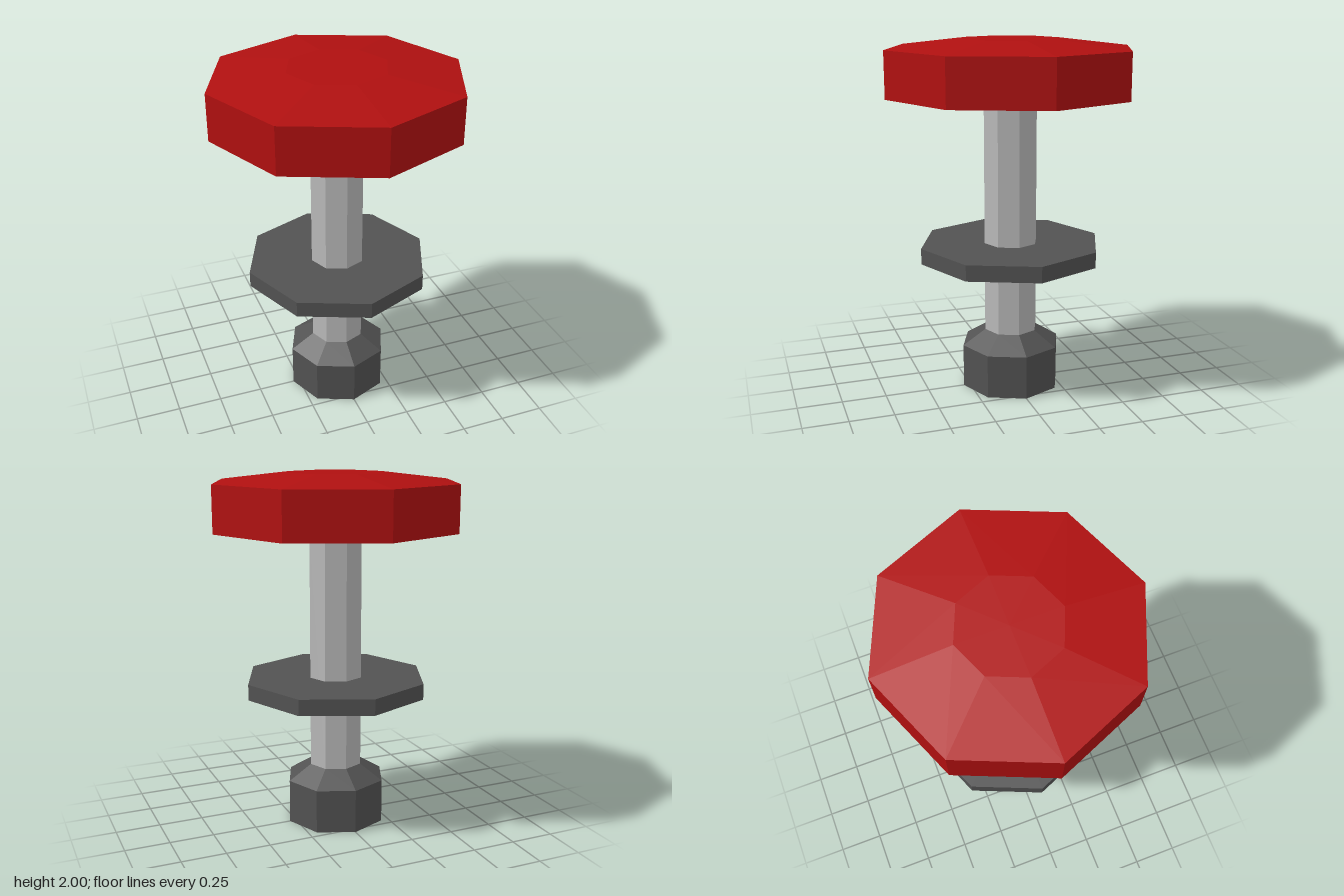
import * as THREE from 'three';

const SIDES = 8;

function flatMaterial(name, color) {
  const m = new THREE.MeshStandardMaterial({ color, flatShading: true });
  m.name = name;
  return m;
}

// Turned eight-sided part from [radius, height] points, bottom to top
function turned(name, points, material) {
  const profile = points.map(([r, y]) => new THREE.Vector2(r, y));
  const mesh = new THREE.Mesh(new THREE.LatheGeometry(profile, SIDES), material);
  mesh.name = name;
  return mesh;
}

export function createModel() {
  const red = flatMaterial('red', 0xb01010);
  const steel = flatMaterial('light grey', 0xb8b8b8);
  const dark = flatMaterial('dark grey', 0x525252);

  const group = new THREE.Group();
  group.name = 'pushButton';

  group.add(
    // Foot with a chamfer running into the shaft
    turned('foot', [[0, 0], [0.288, 0], [0.288, 0.25], [0.155, 0.335], [0, 0.335]], dark),
    // Straight shaft, ending inside the cap
    turned('shaft', [[0, 0.32], [0.155, 0.32], [0.155, 1.7], [0, 1.7]], steel),
    // Thin collar plate around the shaft
    turned('collar', [[0, 0.765], [0.525, 0.765], [0.525, 0.855], [0, 0.855]], dark),
    // Wide cap with a shallow domed top and slightly bulging underside
    turned('cap', [[0, 1.683], [0.18, 1.683], [0.7, 1.692], [0.7, 1.95], [0.28, 2], [0, 2]], red),
  );
  return group;
}
